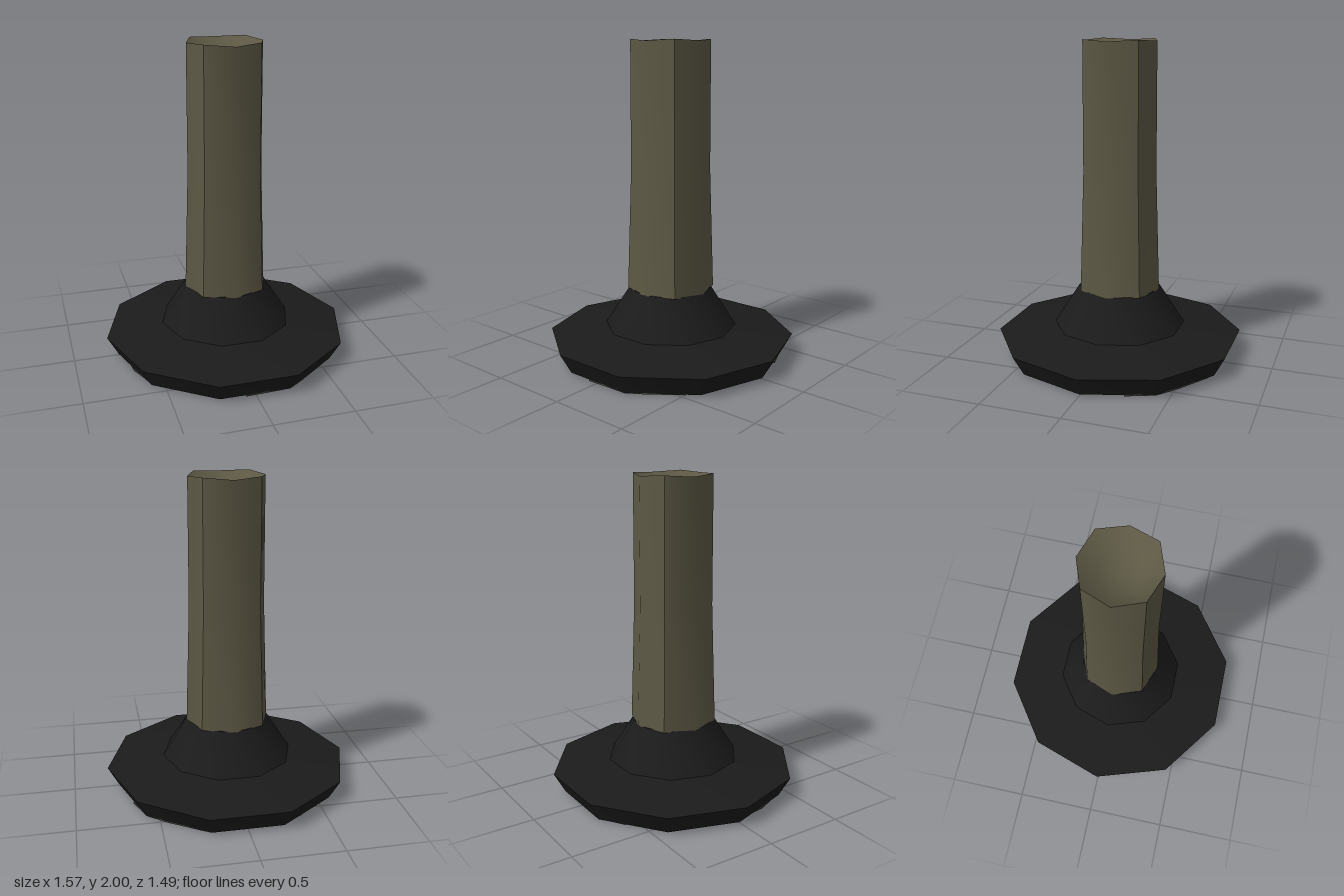
import * as THREE from 'three';
import { toCreasedNormals } from 'three/addons/utils/BufferGeometryUtils.js';

function flatColour(name, color) {
  const material = new THREE.MeshStandardMaterial({ color });
  material.name = name;
  return material;
}
const darkBase = flatColour('dark base', 0x1b1b1b);
const wornGrey = flatColour('worn grey', 0x454341);
const olive = flatColour('olive', 0x5c5844);

// Faceted turned part: profile of [radius, height], creased above the given angle
function turned(name, profile, sides, start, material, crease, shape) {
  const points = profile.map(([r, y]) => new THREE.Vector2(r, y));
  const geometry = new THREE.LatheGeometry(points, sides, start);
  if (shape) shape(geometry.attributes.position);
  const mesh = new THREE.Mesh(toCreasedNormals(geometry, THREE.MathUtils.degToRad(crease)), material);
  mesh.name = name;
  return mesh;
}

// Push the diagonal corners of the octagon out, and lift them at the lip
function squareOff(p) {
  for (let i = 0; i < p.count; i++) {
    const x = p.getX(i), z = p.getZ(i);
    if (Math.min(Math.abs(x), Math.abs(z)) < 0.01) continue;
    p.setX(i, x * 1.04);
    p.setZ(i, z * 1.04);
    if (p.getY(i) > 1.98) p.setY(i, 2);
  }
}

// Thin plate under the foot, outlined by [angle in degrees from +x to +z, radius]
function solePatch(outline) {
  const shape = new THREE.Shape(outline.map(([deg, r]) => {
    const a = THREE.MathUtils.degToRad(deg);
    return new THREE.Vector2(r * Math.cos(a), r * Math.sin(a));
  }));
  const geometry = new THREE.ExtrudeGeometry(shape, { depth: 0.009, bevelEnabled: false });
  geometry.rotateX(Math.PI / 2).translate(0, 0.009, 0);
  const mesh = new THREE.Mesh(geometry, wornGrey);
  mesh.name = 'solePatch';
  return mesh;
}

export function createModel() {
  const group = new THREE.Group();
  group.name = 'pedestal';

  // Ten-sided foot plate with an undercut rim
  group.add(turned('footPlate', [
    [0, 0.005], [0.715, 0.005], [0.785, 0.13], [0.42, 0.19],
  ], 10, Math.PI / 2, darkBase, 44));

  // Flared collar carrying the post
  group.add(turned('collar', [
    [0.42, 0.19], [0.26, 0.44], [0, 0.44],
  ], 10, Math.PI / 2, darkBase, 44));

  // Worn areas on the sole
  [
    [[291, 0.7], [298, 0.38], [337, 0.43], [339, 0.69], [324, 0.71], [312, 0.69]],
    [[0, 0], [43, 0.69], [63, 0.69], [72, 0.71], [95, 0.69], [97, 0.41]],
    [[170, 0.42], [178, 0.68], [161, 0.69], [150, 0.69], [160, 0.54]],
    [[0, 0], [258, 0.67], [252, 0.7], [238, 0.68]],
  ].forEach((outline) => group.add(solePatch(outline)));

  // Eight-sided tapered post, slightly squared
  group.add(turned('post', [
    [0, 0.435], [0.264, 0.435], [0.239, 1.2], [0.237, 1.99],
  ], 8, 0, olive, 44, squareOff));

  // Smooth dished top
  group.add(turned('dishedTop', [
    [0.237, 1.99], [0.13, 1.91], [0, 1.88],
  ], 8, 0, olive, 180, squareOff));

  return group;
}
